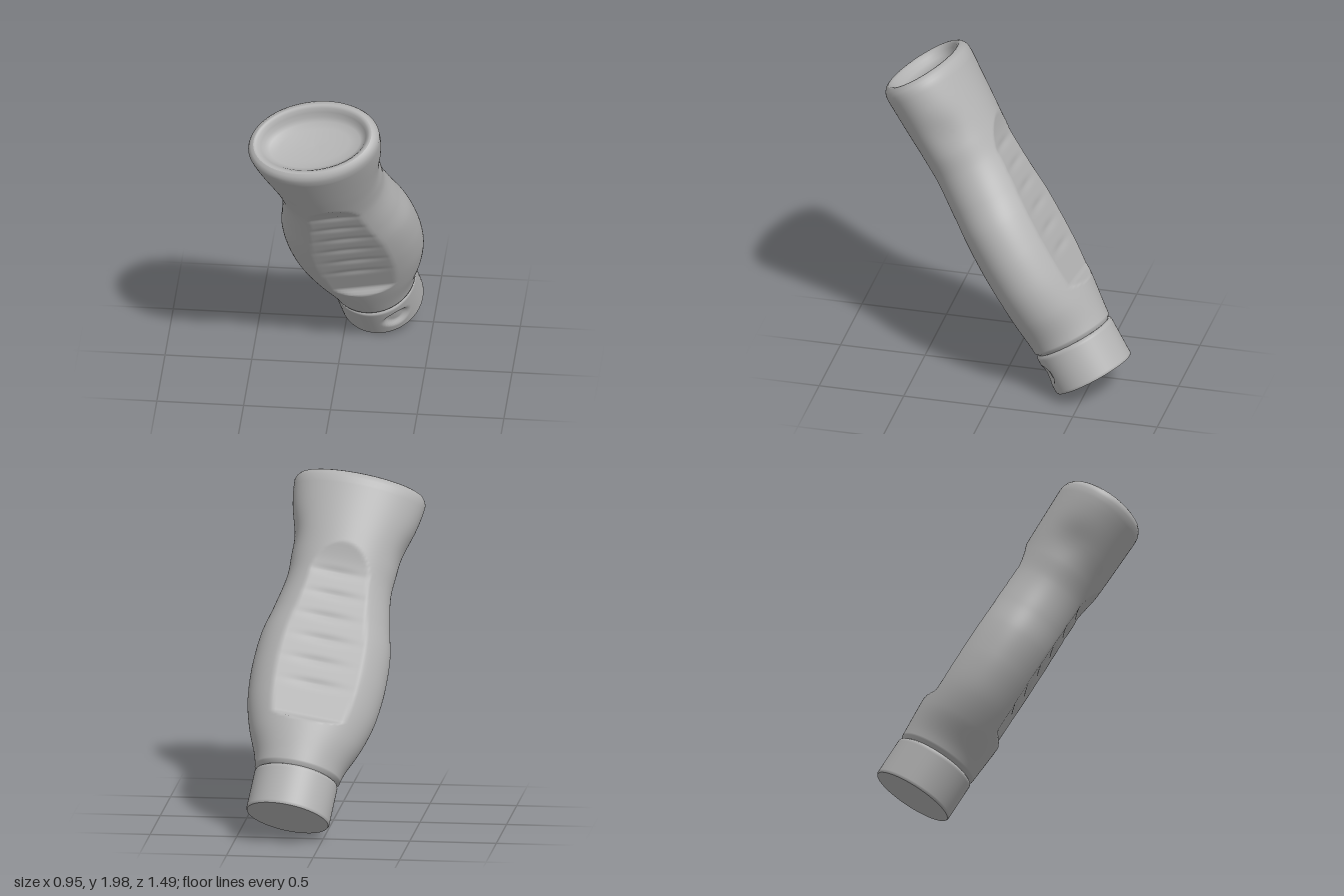
import * as THREE from 'three';

const LENGTH = 2.05;
const SIDES = 112;

const smooth = (a, b, v) => THREE.MathUtils.smoothstep(v, a, b);
const bell = (v, width) => Math.exp(-((v / width) ** 2));

// Smooth interpolation through [position, value] pairs
function profile(points) {
  return (u) => {
    let i = 0;
    while (i < points.length - 2 && u > points[i + 1][0]) i++;
    const slope = (k) => {
      const a = points[Math.max(k - 1, 0)], b = points[Math.min(k + 1, points.length - 1)];
      return (b[1] - a[1]) / (b[0] - a[0]);
    };
    const [x0, y0] = points[i], [x1, y1] = points[i + 1];
    const h = x1 - x0, t = THREE.MathUtils.clamp((u - x0) / h, 0, 1);
    const t2 = t * t, t3 = t2 * t;
    return y0 * (2 * t3 - 3 * t2 + 1) + y1 * (3 * t2 - 2 * t3)
      + h * (slope(i) * (t3 - 2 * t2 + t) + slope(i + 1) * (t3 - t2));
  };
}

const halfWidth = profile([
  [0.1, 0.238], [0.157, 0.262], [0.233, 0.325], [0.3, 0.365], [0.36, 0.383], [0.43, 0.389],
  [0.52, 0.377], [0.6, 0.34], [0.7, 0.304], [0.77, 0.315], [0.84, 0.341], [0.94, 0.376], [1, 0.388],
]);
const halfDepth = profile([
  [0.1, 0.236], [0.16, 0.245], [0.25, 0.256], [0.45, 0.266], [0.7, 0.25], [0.85, 0.257], [1, 0.264],
]);

// Skin closed rings of points, listed from bottom to top
function loft(rings) {
  const positions = rings.flat(2);
  const index = [];
  for (let i = 0; i < rings.length - 1; i++) {
    for (let j = 0; j < SIDES; j++) {
      const k = (j + 1) % SIDES;
      const a = i * SIDES + j, b = i * SIDES + k;
      index.push(a, a + SIDES, b, b, a + SIDES, b + SIDES);
    }
  }
  const geometry = new THREE.BufferGeometry();
  geometry.setAttribute('position', new THREE.Float32BufferAttribute(positions, 3));
  geometry.setIndex(index);
  geometry.computeVertexNormals();
  return geometry;
}

function ring(u, point) {
  return Array.from({ length: SIDES }, (_, j) => {
    const a = (j / SIDES) * Math.PI * 2;
    const [x, z] = point(Math.cos(a), Math.sin(a));
    return [x, u * LENGTH, z];
  });
}

// Hand grip section: an ellipse cut by ribbed flat panels, with thumb hollows at the sides
function gripPoint(u, c, s) {
  let x = halfWidth(u) * c;
  let z = halfDepth(u) * s;
  const front = z > 0;
  const inside = smooth(0.235, 0.275, u) * (1 - smooth(0.7, 0.88, u));
  let limit = THREE.MathUtils.lerp(0.3, front ? 0.218 : 0.206, inside);
  for (let i = 0; i < 6; i++) {
    limit -= 0.008 * bell(u - 0.37 - i * 0.067, 0.011) * bell(x - 0.02 * (i % 2), 0.14);
  }
  z = Math.sign(z) * Math.min(Math.abs(z), limit);
  x -= Math.sign(c) * 0.02 * bell(u - 0.825, 0.055) * bell(z + 0.03, 0.13);
  return [x, z];
}

function gripGeometry() {
  const rings = [ring(0.121, (c, s) => [0.227 * c, 0.225 * s])];
  const steps = 150;
  for (let i = 0; i <= steps; i++) {
    const u = 0.13 + (0.965 - 0.13) * (i / steps);
    rings.push(ring(u, (c, s) => gripPoint(u, c, s)));
  }
  // Rounded shoulder up to the rim
  for (const [u, inset] of [[0.98, 0.004], [0.99, 0.012], [0.998, 0.025], [1.002, 0.042]]) {
    rings.push(ring(u, (c, s) => [(halfWidth(1) - inset) * c, (halfDepth(1) - inset) * s]));
  }
  return loft(rings);
}

// Hollow in the top, running inward from the rim
function dishGeometry() {
  const steps = [
    [1.002, 0.042], [1.002, 0.052], [0.998, 0.065], [0.988, 0.08], [0.975, 0.095],
    [0.965, 0.12], [0.96, 0.16], [0.957, 0.21], [0.956, 0.2639],
  ];
  return loft(steps.map(([u, inset]) => ring(u, (c, s) => {
    const reach = (0.264 - inset) / 0.264;
    const x = THREE.MathUtils.lerp(0.388 - inset, 0.388 * reach, smooth(0.1, 0.26, inset));
    return [x * c, (0.264 - inset) * s];
  })));
}

// Round collar with an oval dent at its front left
function collarGeometry() {
  const rings = [];
  const levels = Array.from({ length: 25 }, (_, i) => [0.004 + i * 0.0045, 0.243]);
  for (const [u, r] of [[0, 0.238], ...levels, [0.117, 0.24], [0.121, 0.227]]) {
    rings.push(ring(u, (c, s) => {
      const angle = Math.atan2(s, c) - 1.1;
      const reach = Math.hypot(angle / 0.4, (u - 0.06) / 0.034);
      const radius = r - 0.024 * (1 - smooth(0.55, 1, reach));
      return [radius * c, radius * s];
    }));
  }
  return loft(rings);
}

export function createModel() {
  const grey = new THREE.MeshStandardMaterial({ color: 0xb3b3b3 });
  grey.name = 'plain grey';

  const handle = new THREE.Group();
  handle.name = 'handle';
  const add = (name, geometry) => {
    const mesh = new THREE.Mesh(geometry, grey);
    mesh.name = name;
    handle.add(mesh);
    return mesh;
  };

  add('grip', gripGeometry());
  add('topDish', dishGeometry());
  add('baseCollar', collarGeometry());
  add('baseCap', new THREE.CircleGeometry(0.238, SIDES)).rotation.x = Math.PI / 2;

  // Lean the handle forward and to its right
  const up = new THREE.Vector3(-0.3, 1.715, 1.08).normalize();
  const side = new THREE.Vector3(1.715, 0.3, 0).normalize();
  const forward = new THREE.Vector3().crossVectors(side, up);
  handle.quaternion.setFromRotationMatrix(new THREE.Matrix4().makeBasis(side, up, forward));
  handle.position.set(0.2, 0.135, -0.55);

  const model = new THREE.Group();
  model.name = 'model';
  model.add(handle);
  return model;
}
